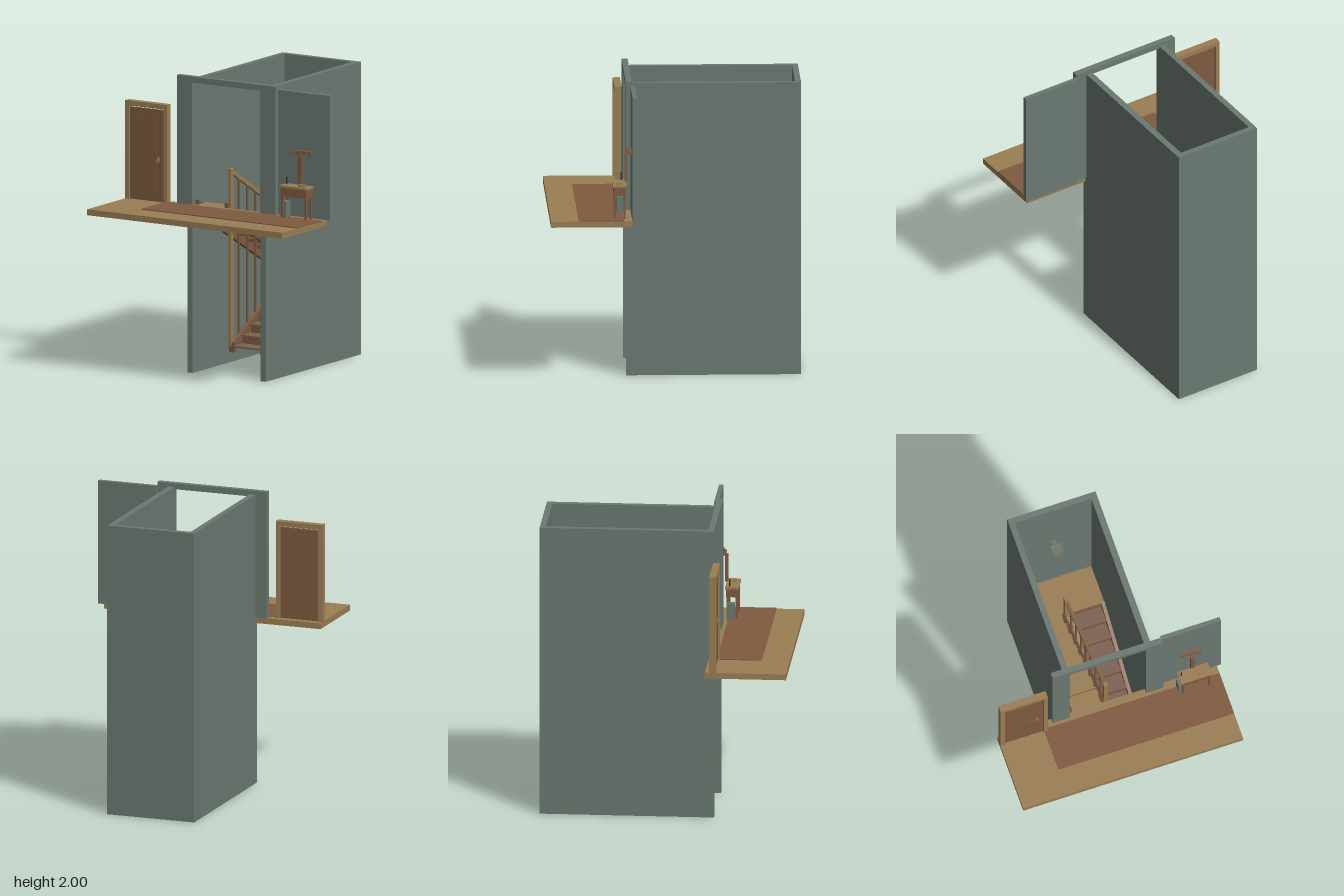
import * as THREE from 'three';

const mat = (name, color) => Object.assign(new THREE.MeshStandardMaterial({ color }), { name });

export function createModel() {
  const wall = mat('greyGreenPlaster', 0x6b7971);
  const oak = mat('tanWood', 0x9b7e54);
  const brown = mat('brownWood', 0x7f5a40);
  const worn = mat('wornTread', 0x7c6252);
  const dark = mat('darkMetal', 0x3a322c);

  const root = new THREE.Group();
  root.name = 'stairwell';
  const group = (name) => {
    const g = new THREE.Group();
    g.name = name;
    root.add(g);
    return g;
  };
  const add = (parent, name, geo, m) => {
    const mesh = new THREE.Mesh(geo, m);
    mesh.name = name;
    parent.add(mesh);
    return mesh;
  };
  // box given by its limits on each axis
  const box = (parent, name, m, x0, x1, y0, y1, z0, z1) => {
    const mesh = add(parent, name, new THREE.BoxGeometry(x1 - x0, y1 - y0, z1 - z0), m);
    mesh.position.set((x0 + x1) / 2, (y0 + y1) / 2, (z0 + z1) / 2);
    return mesh;
  };
  // sloping beam: side outline between two z stations, extruded along x
  const beam = (parent, name, m, x0, x1, zA, topA, zB, topB, depth) => {
    const s = new THREE.Shape([
      new THREE.Vector2(-zA, topA), new THREE.Vector2(-zA, topA - depth),
      new THREE.Vector2(-zB, topB - depth), new THREE.Vector2(-zB, topB)]);
    const g = new THREE.ExtrudeGeometry(s, { depth: x1 - x0, bevelEnabled: false });
    g.rotateY(Math.PI / 2).translate(x0, 0, 0);
    return add(parent, name, g, m);
  };

  // shaft walls, open at top, bottom and front
  const shaft = group('shaft');
  box(shaft, 'leftSideWall', wall, 0.25, 0.293, 0, 1.975, -0.84, 0.32);
  box(shaft, 'rightSideWall', wall, -0.325, -0.285, 0, 1.975, -0.84, 0.32);
  box(shaft, 'backWall', wall, -0.285, 0.25, 0, 1.975, -0.84, -0.8);

  // wall around the doorway, and the plain panel beside it
  const front = new THREE.Shape([[-0.405, 1.135], [-0.285, 1.135], [-0.285, 1.96], [0.25, 1.96],
    [0.25, 1.135], [0.372, 1.135], [0.372, 2], [-0.405, 2]].map(p => new THREE.Vector2(...p)));
  add(root, 'doorwayWall', new THREE.ExtrudeGeometry(front, { depth: 0.04, bevelEnabled: false }), wall)
    .position.z = 0.286;
  box(root, 'sidePanel', wall, 0.372, 0.785, 1.135, 1.975, 0.265, 0.295);

  // upper floor and runner
  box(root, 'upperFloor', oak, -0.785, 0.755, 1.095, 1.135, 0.295, 0.835);
  box(root, 'runner', brown, -0.475, 0.755, 1.135, 1.141, 0.35, 0.65);

  // landing
  const zTop = 0.285, zBack = -0.53, run = (zTop - zBack) / 8;
  const landing = group('landing');
  box(landing, 'landingBoards', oak, -0.285, 0.25, 0.65, 0.668, -0.8, zBack);
  box(landing, 'landingBeam', brown, -0.285, -0.03, 0.6, 0.65, zBack - 0.03, zBack);
  box(landing, 'landingBeam', brown, -0.03, 0.25, 0.6, 0.65, zBack - 0.03, zBack);
  box(landing, 'landingNosing', brown, 0, 0.25, 0.65, 0.671, zBack, zBack + 0.008);
  for (const x of [-0.285, 0.23])
    box(landing, 'landingLeg', brown, x, x + 0.02, 0, 0.65, -0.79, -0.77);

  // two flights of eight steps
  const lower = group('lowerFlight');
  const upper = group('upperFlight');
  for (let i = 0; i < 8; i++) {
    const yl = 0.21 + i * 0.0575, zl = zTop - i * run;
    box(lower, 'tread', worn, 0.02, 0.226, yl - 0.012, yl, zl - run, zl + 0.006);
    box(lower, 'riser', brown, 0.02, 0.226, yl, yl + 0.0455, zl - run - 0.008, zl - run);
    if (i === 7) continue;
    const yu = 0.667 + (i + 1) * 0.0585, zu = zBack + i * run;
    box(upper, 'tread', oak, -0.26, -0.052, yu - 0.012, yu, zu - 0.006, zu + run);
    box(upper, 'riser', brown, -0.26, -0.052, yu - 0.0585, yu - 0.012, zu, zu + 0.008);
  }
  box(upper, 'riser', brown, -0.26, -0.052, 1.077, 1.135, zTop - run, zTop - run + 0.008);
  box(upper, 'tread', oak, -0.26, -0.052, 1.123, 1.135, zTop - run - 0.006, 0.295);
  for (const [a, b] of [[0, 0.022], [0.226, 0.25]])
    beam(lower, 'stringer', brown, a, b, zTop, 0.23, zBack, 0.69, 0.066);
  for (const [a, b] of [[-0.285, -0.257], [-0.055, -0.03]])
    beam(upper, 'stringer', brown, a, b, zTop, 1.165, zBack, 0.71, 0.09);

  // railing: tall newel, handrail and balusters spanning both flights
  const railing = group('railing');
  box(railing, 'frontNewel', oak, -0.03, -0.004, 0.2, 1.4, 0.255, 0.285);
  box(railing, 'backNewel', oak, -0.03, -0.002, 0.65, 0.97, -0.545, -0.515);
  beam(railing, 'handrail', oak, -0.028, -0.006, 0.256, 1.39, -0.52, 0.94, 0.03);
  beam(railing, 'bottomRail', brown, -0.022, 0, zTop, 0.21, zBack, 0.67, 0.045);
  for (let i = 1; i < 8; i++) {
    const t = i / 8, z = 0.27 - t * 0.8;
    box(railing, 'baluster', brown, -0.023, -0.011, 0.19 + 0.46 * t, 1.37 - 0.45 * t, z - 0.006, z + 0.006);
  }

  // lantern on the back wall
  const lantern = group('wallLantern');
  box(lantern, 'backPlate', wall, -0.04, 0.002, 1.29, 1.4, -0.8, -0.785);
  box(lantern, 'arm', oak, -0.026, -0.008, 1.37, 1.385, -0.785, -0.74);
  const shade = add(lantern, 'shade',
    new THREE.CylinderGeometry(0.046, 0.032, 0.08, 4).rotateY(Math.PI / 4).toNonIndexed(), oak);
  shade.geometry.computeVertexNormals();
  shade.position.set(-0.018, 1.39, -0.725);
  box(lantern, 'cap', wall, -0.058, 0.022, 1.43, 1.446, -0.756, -0.695);

  // door in its frame
  const door = group('door');
  box(door, 'jamb', oak, -0.785, -0.755, 1.135, 1.765, 0.325, 0.372);
  box(door, 'jamb', oak, -0.483, -0.455, 1.135, 1.765, 0.325, 0.372);
  box(door, 'header', oak, -0.785, -0.455, 1.765, 1.798, 0.325, 0.372);
  box(door, 'leaf', brown, -0.753, -0.485, 1.135, 1.755, 0.338, 0.358);
  for (const [a, b] of [[1.2, 1.41], [1.46, 1.7]])
    box(door, 'doorPanel', brown, -0.715, -0.545, a, b, 0.358, 0.362);
  box(door, 'handle', oak, -0.532, -0.522, 1.405, 1.435, 0.358, 0.376);

  // desk with the things on it
  const desk = group('desk');
  box(desk, 'deskTop', oak, 0.463, 0.68, 1.345, 1.36, 0.33, 0.42);
  box(desk, 'apron', brown, 0.472, 0.672, 1.29, 1.345, 0.336, 0.414);
  for (const x of [0.475, 0.658])
    for (const z of [0.338, 0.4])
      box(desk, 'deskLeg', brown, x, x + 0.013, 1.135, 1.29, z, z + 0.013);
  box(desk, 'notebook', oak, 0.595, 0.648, 1.36, 1.372, 0.365, 0.396);
  const pen = add(desk, 'pen', new THREE.CylinderGeometry(0.004, 0.005, 0.05, 8), dark);
  pen.position.set(0.485, 1.385, 0.36);
  box(root, 'wasteBin', wall, 0.455, 0.5, 1.135, 1.25, 0.34, 0.392);

  // coat rack with a hanging scarf
  const rack = group('coatRack');
  box(rack, 'rackBar', brown, 0.498, 0.645, 1.56, 1.583, 0.295, 0.314);
  for (const x of [0.517, 0.571, 0.614])
    box(rack, 'peg', brown, x - 0.005, x + 0.005, 1.565, 1.577, 0.314, 0.332);
  box(rack, 'scarf', brown, 0.557, 0.588, 1.372, 1.56, 0.324, 0.342);

  return root;
}
